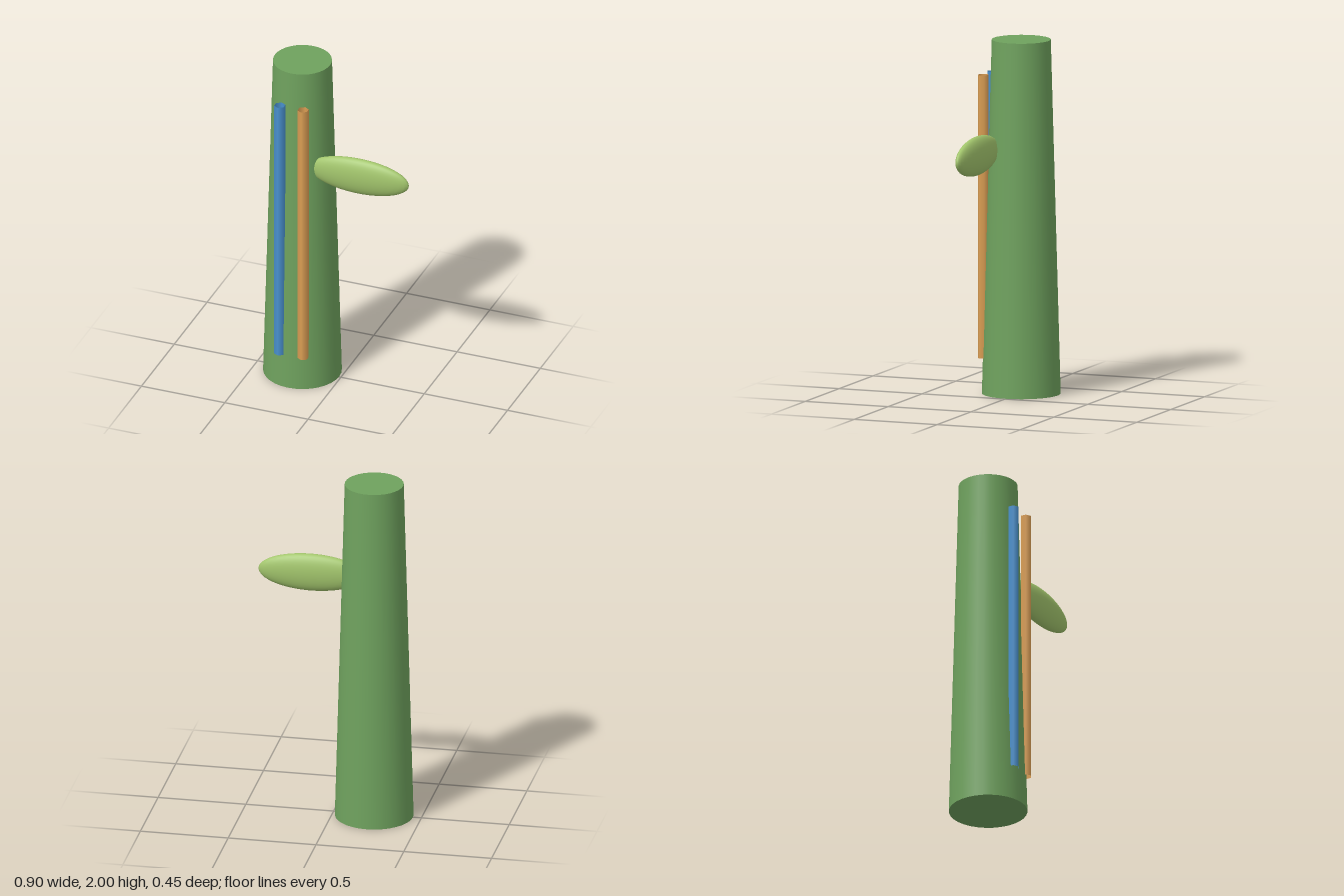
import * as THREE from 'three';

const material = (name, color, side = THREE.FrontSide) => {
  const m = new THREE.MeshStandardMaterial({ color, side });
  m.name = name;
  return m;
};

export function createModel() {
  const group = new THREE.Group();
  group.name = 'plantStem';

  const add = (name, geometry, mat, x, y, z) => {
    const mesh = new THREE.Mesh(geometry, mat);
    mesh.name = name;
    mesh.position.set(x, y, z);
    group.add(mesh);
    return mesh;
  };

  // Tapered stem
  add('stem', new THREE.CylinderGeometry(0.165, 0.22, 2, 32),
    material('stemGreen', 0x6fa25e), -0.232, 1, -0.004);

  // Two open six-sided vessels running up the front of the stem
  const vessel = new THREE.CylinderGeometry(0.032, 0.032, 1.6, 6, 1, true);
  add('waterVessel', vessel, material('vesselBlue', 0x4a92d0, THREE.DoubleSide), -0.291, 1, 0.192);
  add('sugarVessel', vessel, material('vesselOrange', 0xdc9f54, THREE.DoubleSide), -0.151, 1, 0.192);

  // Flattened leaf growing out of the stem's left side
  const leaf = add('leaf', new THREE.SphereGeometry(1, 32, 20),
    material('leafGreen', 0xa2c56c), 0.15, 1.39, 0.106);
  leaf.scale.set(0.3, 0.11, 0.048);

  return group;
}
